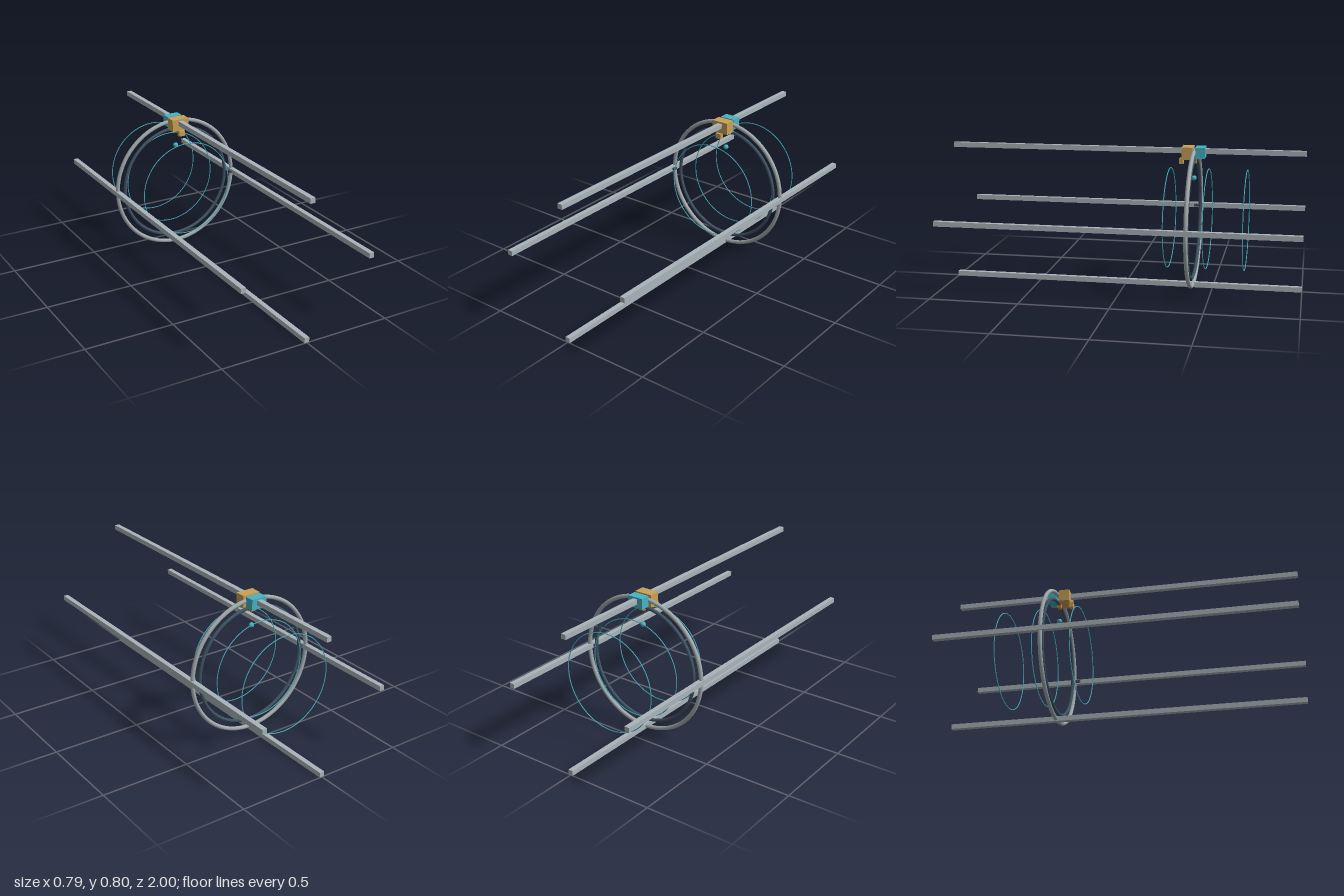
import * as THREE from 'three';

const CY = 0.397;      // height of the ring axis
const RING_Z = -0.388; // plane of the main rings

export function createModel() {
  const model = new THREE.Group();
  model.name = 'railRingRig';

  const mat = (name, color) => {
    const m = new THREE.MeshStandardMaterial({ color });
    m.name = name;
    return m;
  };
  const railGrey = mat('railGrey', 0xaab4ba);
  const ringGrey = mat('ringGrey', 0xa2abaf);
  const slate = mat('slate', 0x3f5463);
  const brass = mat('brass', 0xc9a158);
  const teal = mat('teal', 0x48b4c4);
  const orange = mat('orange', 0xd07a35);

  const add = (name, geometry, material, x, y, z) => {
    const mesh = new THREE.Mesh(geometry, material);
    mesh.name = name;
    mesh.position.set(x, y, z);
    model.add(mesh);
    return mesh;
  };
  const box = (name, material, w, h, d, x, y, z) =>
    add(name, new THREE.BoxGeometry(w, h, d), material, x, y, z);
  const ring = (name, material, radius, tube, sides, z) =>
    add(name, new THREE.TorusGeometry(radius, tube, sides, 96), material, 0, CY, z);

  // Four long rails spaced around the ring
  const railRadius = 0.383;
  for (const [name, dx, dy] of [
    ['topRail', 0, 1], ['bottomRail', 0, -1], ['leftRail', 1, 0], ['rightRail', -1, 0],
  ]) {
    box(name, railGrey, 0.028, 0.028, 2, dx * railRadius, CY + dy * railRadius, 0);
  }

  // Carrier ring and the darker ring inside it
  ring('outerRing', ringGrey, 0.382, 0.0118, 8, RING_Z);
  ring('innerRing', slate, 0.335, 0.0095, 8, RING_Z);

  // Thin hoops along the axis
  for (const z of [-0.25, -0.465, -0.68]) ring('thinHoop', teal, 0.28, 0.0028, 6, z);

  // Side lugs
  for (const s of [-1, 1]) {
    box(s > 0 ? 'leftLug' : 'rightLug', slate, 0.014, 0.014, 0.027, s * 0.364, CY, -0.363);
  }

  // Carriage blocks on the top rail
  box('frontCarriage', brass, 0.104, 0.069, 0.062, 0, 0.7695, -0.351);
  box('carriageTab', brass, 0.036, 0.03, 0.023, 0, 0.721, -0.315);
  box('rearCarriage', teal, 0.092, 0.06, 0.054, 0, 0.773, -0.422);
  box('ringClip', orange, 0.03, 0.025, 0.022, 0, 0.723, RING_Z);

  // Small bead hanging inside the rings
  add('bead', new THREE.SphereGeometry(0.0145, 20, 14), teal, 0, 0.627, -0.386);

  return model;
}
